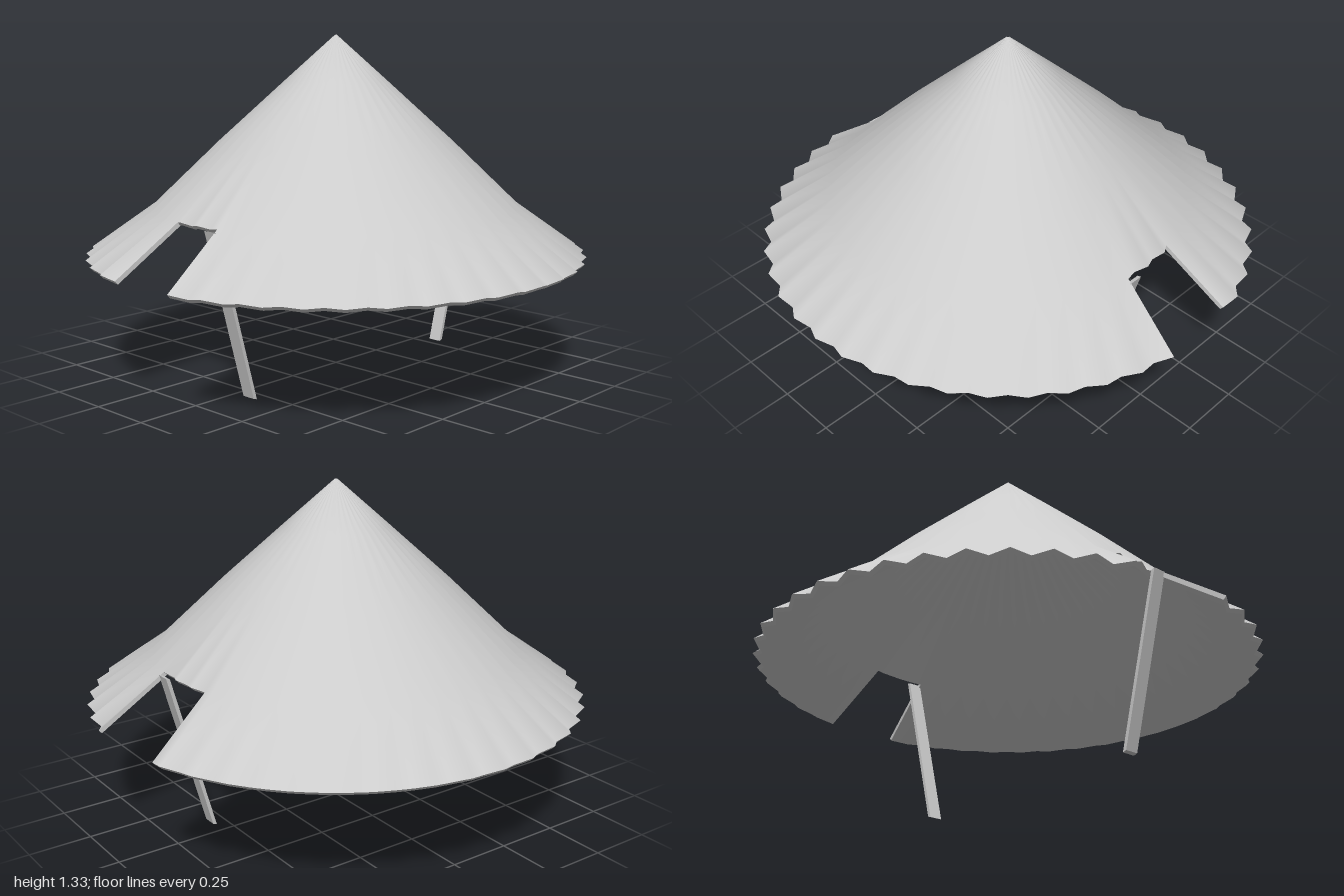
import * as THREE from 'three';
import { toCreasedNormals } from 'three/addons/utils/BufferGeometryUtils.js';

const PLEATS = 44;
const SEGS = PLEATS * 2;
// radius, height and pleat depth of each ring, apex to rim
const RINGS = [
  [0.004, 1.34, 0], [0.2, 1.16, 0.003], [0.46, 0.92, 0.006],
  [0.72, 0.665, 0.01], [0.98, 0.477, 0.014],
];
const OUTER_BAND = RINGS.length - 2;

// Brim cells are left out at both sides, from 12 degrees behind to 8 in front
function hasCell(ring, seg) {
  if (ring < 0 || ring > OUTER_BAND) return false;
  if (ring < OUTER_BAND) return true;
  const a = (((seg + 0.5) / SEGS) * 360 + 360) % 360;
  const fromSide = Math.asin(Math.sin((a * Math.PI) / 180)) * 180 / Math.PI;
  return fromSide < -12.3 || fromSide > 8.2;
}

// Point on the outer shell, or on the lining just beneath it
function shellPoint(ring, seg, lining) {
  const [r, y, depth] = RINGS[ring];
  const wave = seg % 2 === 0 ? depth : -depth;
  const inset = lining ? 0.012 * Math.min(1, r / 0.2) : 0;
  const radius = Math.max(0.001, r + wave - inset);
  const a = (seg / SEGS) * Math.PI * 2;
  return [radius * Math.cos(a), y + wave * 0.5 - (lining ? 0.013 : 0), radius * Math.sin(a)];
}

function canopyGeometry() {
  const pos = [];
  const quad = (a, b, c, d) => pos.push(...a, ...b, ...c, ...a, ...c, ...d);
  for (let k = 0; k <= OUTER_BAND; k++) {
    for (let i = 0; i < SEGS; i++) {
      if (!hasCell(k, i)) continue;
      const corners = [[k, i], [k, i + 1], [k + 1, i + 1], [k + 1, i]];
      const top = corners.map(([r, s]) => shellPoint(r, s, false));
      const low = corners.map(([r, s]) => shellPoint(r, s, true));
      quad(...top);
      quad(low[3], low[2], low[1], low[0]);
      // close the thickness wherever the neighbouring cell is missing
      const neighbours = [[k - 1, i], [k, i + 1], [k + 1, i], [k, i - 1]];
      neighbours.forEach(([r, s], e) => {
        if (r < 0 || hasCell(r, s)) return;
        const n = (e + 1) % 4;
        quad(top[n], top[e], low[e], low[n]);
      });
    }
  }
  const g = new THREE.BufferGeometry();
  g.setAttribute('position', new THREE.Float32BufferAttribute(pos, 3));
  return toCreasedNormals(g, 0.9);
}

// Flat strap leaning inward toward the ground
function strapGeometry(side) {
  const g = new THREE.BoxGeometry(0.016, 0.65, 0.056);
  const p = g.attributes.position;
  for (let i = 0; i < p.count; i++) {
    const t = p.getY(i) / 0.65 + 0.5;
    // the cut ends tilt slightly across the thickness
    p.setY(i, 0.008 + t * 0.65 + side * p.getX(i) * 0.3);
    p.setX(i, p.getX(i) + side * (0.555 + 0.178 * t));
    p.setZ(i, p.getZ(i) + 0.082);
  }
  g.computeVertexNormals();
  return g;
}

export function createModel() {
  const group = new THREE.Group();
  group.name = 'conicalHat';
  const material = new THREE.MeshStandardMaterial({ color: 0xcccccc });
  const add = (name, geometry) => {
    const mesh = new THREE.Mesh(geometry, material);
    mesh.name = name;
    group.add(mesh);
  };

  add('pleatedCone', canopyGeometry());
  add('leftStrap', strapGeometry(1));
  add('rightStrap', strapGeometry(-1));
  return group;
}
